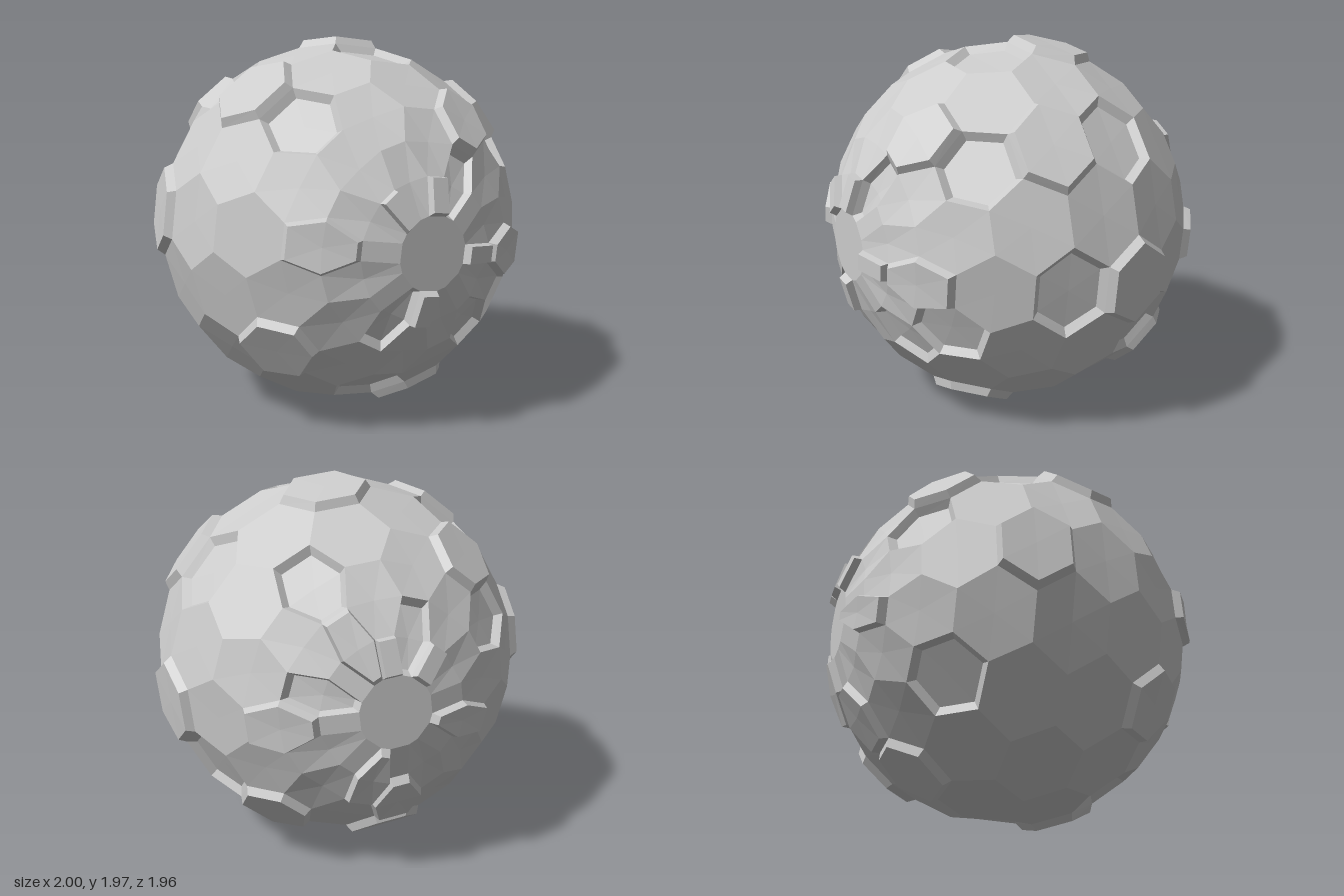
import * as THREE from 'three';

const R = 0.965, HIGH = 1.002, LOW = 0.922, SHRINK = 0.85;
const COLS = 16, STEP = 22.5, START = -7;

// Raised and sunken cells, as column:latitude (the grid's poles lie on z)
const RAISED = new Set(('3:45 8:56.25 0:56.25 10:33.75 13:22.5 2:11.25 6:11.25 0:-11.25 4:-11.25 8:-11.25 ' +
  '6:-33.75 14:-33.75 12:-33.75 0:-56.25 12:-56.25 9:-67.5 13:-67.5 3:-67.5 ' +
  '0:78.75 4:78.75 6:78.75 12:78.75 4:-78.75 6:-78.75').split(' '));
const SUNKEN = new Set(('3:67.5 11:67.5 14:56.25 15:45 2:33.75 6:33.75 12:33.75 0:11.25 4:11.25 13:0 ' +
  '2:-11.25 6:-11.25 15:-22.5 10:-33.75 3:-45 7:-45 5:-67.5 1:-67.5').split(' '));

// Point on a ball of radius r; longitude runs round z, latitude towards +z
function point(lon, lat, r = R) {
  const a = THREE.MathUtils.degToRad(lon), b = THREE.MathUtils.degToRad(lat);
  return new THREE.Vector3(Math.cos(a) * Math.cos(b), Math.sin(a) * Math.cos(b), Math.sin(b)).multiplyScalar(r);
}

function centroid(ring) {
  return ring.reduce((s, p) => s.add(p), new THREE.Vector3()).divideScalar(ring.length);
}

// Fan that fills a ring
function fill(out, ring) {
  const c = centroid(ring);
  ring.forEach((p, i) => out.push(c, p, ring[(i + 1) % ring.length]));
}

// Sloping walls between two rings
function walls(out, a, b) {
  a.forEach((p, i) => {
    const j = (i + 1) % a.length;
    out.push(p, a[j], b[j], p, b[j], b[i]);
  });
}

// Outline of one cell: a hexagon, or half of one against the polar caps
function cellRing(lon, lat) {
  const h = STEP / 2;
  if (Math.abs(lat) > 70) {
    const s = Math.sign(lat);
    const ring = [point(lon - 7.5, s * 67.5), point(lon + 7.5, s * 67.5),
      point(lon + 15, s * 78.75), point(lon - 15, s * 78.75)];
    return s > 0 ? ring : ring.reverse();
  }
  return [point(lon - 7.5, lat - h), point(lon + 7.5, lat - h), point(lon + 15, lat),
    point(lon + 7.5, lat + h), point(lon - 7.5, lat + h), point(lon - 15, lat)];
}

export function createModel() {
  const group = new THREE.Group();
  group.name = 'hexPanelledBall';
  const material = new THREE.MeshStandardMaterial({ color: 0xcccccc, flatShading: true });
  const parts = { flushPanels: [], raisedPanels: [], sunkenPanels: [], frontCap: [], backCap: [] };

  // Columns of cells, every second one offset by half a cell
  for (let k = 0; k < COLS; k++) {
    const lats = k % 2 ? [-67.5, -45, -22.5, 0, 22.5, 45, 67.5]
      : [-78.75, -56.25, -33.75, -11.25, 11.25, 33.75, 56.25, 78.75];
    for (const lat of lats) {
      const ring = cellRing(START + k * STEP, lat), key = `${k}:${lat}`;
      const up = RAISED.has(key);
      if (!up && !SUNKEN.has(key)) {
        fill(parts.flushPanels, ring);
        continue;
      }
      const out = up ? parts.raisedPanels : parts.sunkenPanels, c = centroid(ring);
      const inner = ring.map(p => c.clone().lerp(p, SHRINK).setLength(up ? HIGH : LOW));
      walls(out, ring, inner);
      fill(out, inner);
    }
  }

  // Flat polar caps
  for (const s of [1, -1]) {
    const ring = [];
    for (let k = 1; k < COLS; k += 2) {
      const lon = START + k * STEP;
      ring.push(point(lon - 7.5, s * 78.75), point(lon + 7.5, s * 78.75));
    }
    fill(s > 0 ? parts.frontCap : parts.backCap, s > 0 ? ring : ring.reverse());
  }

  for (const [name, points] of Object.entries(parts)) {
    const geometry = new THREE.BufferGeometry().setFromPoints(points);
    geometry.computeVertexNormals();
    const mesh = new THREE.Mesh(geometry, material);
    mesh.name = name;
    mesh.position.y = 0.98;
    group.add(mesh);
  }
  return group;
}
